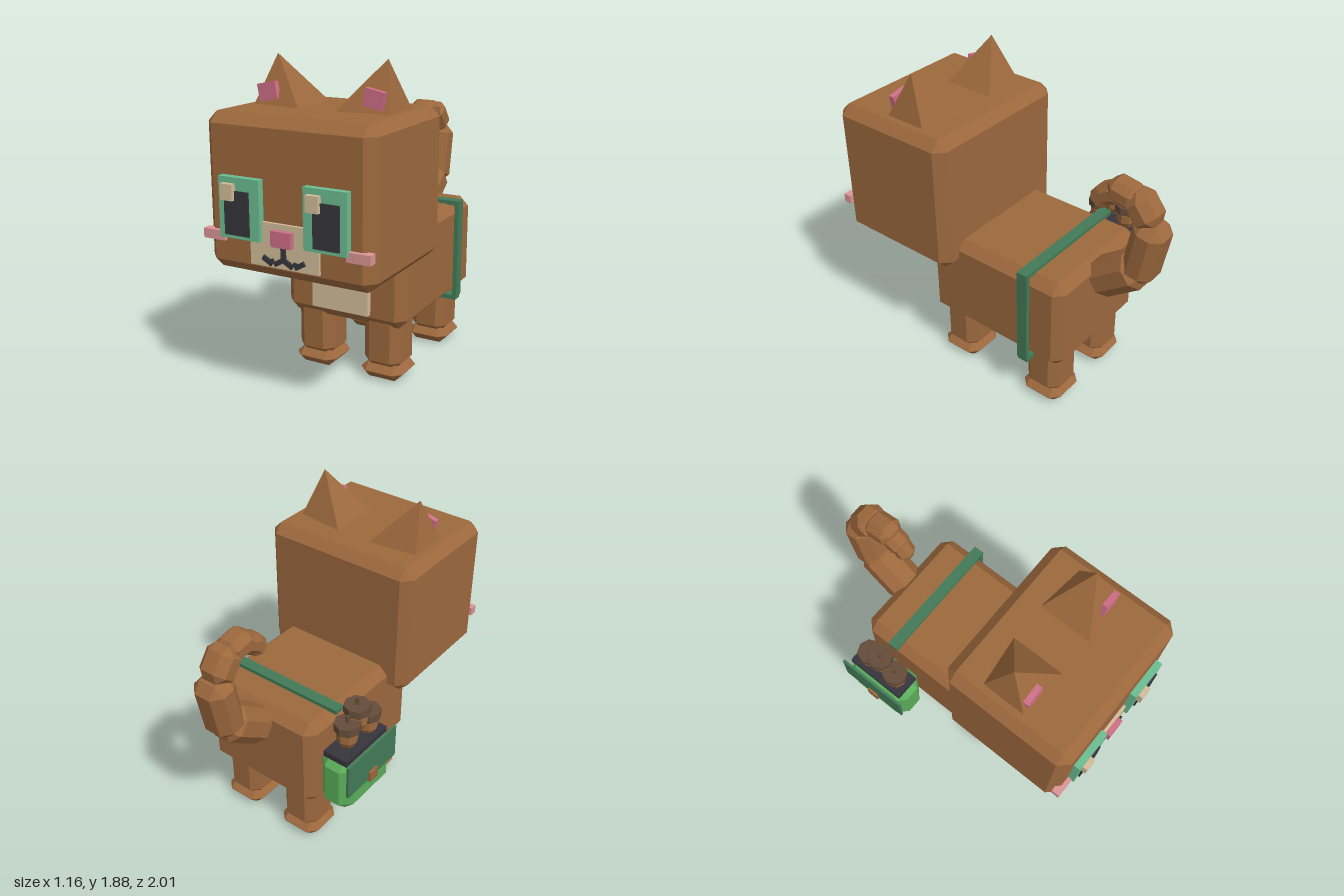
import * as THREE from 'three';
import { ConvexGeometry } from 'three/addons/geometries/ConvexGeometry.js';

const mat = (name, color) => Object.assign(new THREE.MeshStandardMaterial({ color, flatShading: true }), { name });

const M = {
  fur: mat('brown fur', 0x9c683d),
  cream: mat('cream', 0xd2bd9a),
  mint: mat('mint', 0x6cbd92),
  charcoal: mat('charcoal', 0x37353d),
  rose: mat('rose', 0xce6e86),
  blush: mat('blush', 0xdb9494),
  bag: mat('bag green', 0x5aad59),
  strap: mat('strap green', 0x437a57),
  cap: mat('dark brown', 0x644c39),
};

const MID = 0.0725; // symmetry plane of the animal; the bag hangs outside it

// Box with every edge and corner cut by c
function chamferBox(w, h, d, c) {
  const pts = [];
  const [x, y, z] = [w / 2, h / 2, d / 2];
  for (const i of [-1, 1]) for (const j of [-1, 1]) for (const k of [-1, 1]) {
    pts.push(
      new THREE.Vector3(i * x, j * (y - c), k * (z - c)),
      new THREE.Vector3(i * (x - c), j * y, k * (z - c)),
      new THREE.Vector3(i * (x - c), j * (y - c), k * z));
  }
  return new ConvexGeometry(pts);
}

export function createModel() {
  const model = new THREE.Group();
  model.name = 'boxyCat';

  function add(name, geometry, material, x = 0, y = 0, z = 0, parent = model) {
    const mesh = new THREE.Mesh(geometry, material);
    mesh.name = name;
    mesh.position.set(x, y, z);
    parent.add(mesh);
    return mesh;
  }
  // Box given by its limits; a chamfer is optional
  function block(name, material, [x0, x1], [y0, y1], [z0, z1], c = 0) {
    const size = [x1 - x0, y1 - y0, z1 - z0];
    const geometry = c ? chamferBox(...size, c) : new THREE.BoxGeometry(...size);
    return add(name, geometry, material, (x0 + x1) / 2, (y0 + y1) / 2, (z0 + z1) / 2);
  }

  // Head, body and belly patch
  block('head', M.fur, [-0.432, 0.577], [0.765, 1.612], [0.12, 0.93], 0.057);
  block('body', M.fur, [-0.32, 0.465], [0.34, 0.93], [-0.61, 0.36], 0.057);
  block('bellyPatch', M.cream, [-0.11, 0.255], [0.415, 0.8], [0.3, 0.395]);

  // Legs and paws
  for (const [side, x] of [['right', -0.15], ['left', 0.295]]) {
    for (const [end, z] of [['Front', 0.205], ['Rear', -0.435]]) {
      add(`${side}${end}Leg`, chamferBox(0.242, 0.36, 0.242, 0.055), M.fur, x, 0.24, z);
      add(`${side}${end}Paw`, chamferBox(0.268, 0.104, 0.268, 0.05), M.fur, x, 0.052, z);
    }
  }

  // Paired face parts
  for (const s of [-1, 1]) {
    const side = s < 0 ? 'right' : 'left';
    const span = (a, b) => [Math.min(MID + s * a, MID + s * b), Math.max(MID + s * a, MID + s * b)];

    const ear = [[0.338, 1.878, 0.46], [0.112, 1.61, 0.295], [0.112, 1.61, 0.62],
      [0.412, 1.61, 0.33], [0.412, 1.61, 0.59]]
      .map(([x, y, z]) => new THREE.Vector3(MID + s * x, y, z));
    add(`${side}Ear`, new ConvexGeometry(ear), M.fur);
    const inner = add(`${side}InnerEar`, new THREE.BoxGeometry(0.116, 0.095, 0.034), M.rose,
      MID + s * 0.323, 1.685, 0.578);
    inner.rotation.z = -s * 0.19;

    block(`${side}Eye`, M.mint, span(0.132, 0.383), [0.965, 1.292], [0.91, 0.97]);
    block(`${side}Pupil`, M.charcoal, span(0.192, 0.344), [0.985, 1.222], [0.965, 0.98]);
    const hx = s < 0 ? -0.28 : 0.235; // highlights sit on the same side of both eyes
    block(`${side}EyeHighlight`, M.cream, [hx, hx + 0.075], [1.172, 1.26], [0.965, 1.0]);
    block(`${side}Cheek`, M.blush, span(0.368, 0.504), [0.937, 0.99], [0.905, 0.955]);
  }

  // Muzzle, nose and mouth
  block('muzzle', M.cream, [-0.135, 0.28], [0.835, 1.072], [0.9, 0.947]);
  block('nose', M.rose, [MID - 0.06, MID + 0.06], [0.957, 1.042], [0.92, 0.98]);
  function stroke(x0, y0, x1, y1) {
    const len = Math.hypot(x1 - x0, y1 - y0);
    const bar = add('mouthStroke', new THREE.BoxGeometry(len, 0.027, 0.03), M.charcoal,
      MID + (x0 + x1) / 2, (y0 + y1) / 2, 0.945);
    bar.rotation.z = Math.atan2(y1 - y0, x1 - x0);
  }
  stroke(0, 0.96, 0, 0.875);
  for (const s of [-1, 1]) {
    stroke(0, 0.887, s * 0.055, 0.856);
    stroke(s * 0.07, 0.856, s * 0.125, 0.887);
    stroke(s * 0.07, 0.86, s * 0.076, 0.882);
  }

  // Curled tail: z, y, width, length, thickness, lean towards the back
  const tail = new THREE.Group();
  tail.name = 'tail';
  model.add(tail);
  const links = [
    [-0.73, 0.89, 0.23, 0.38, 0.22, 0.93],
    [-0.89, 1.12, 0.215, 0.39, 0.19, 0.18],
    [-0.855, 1.37, 0.185, 0.21, 0.165, -0.65],
    [-0.735, 1.425, 0.16, 0.19, 0.14, -1.4],
    [-0.64, 1.385, 0.13, 0.14, 0.125, -2.1],
    [-0.59, 1.345, 0.11, 0.13, 0.115, -2.5],
  ];
  links.forEach(([z, y, w, len, t, lean], i) => {
    const link = add(`tailLink${i + 1}`, chamferBox(w, len, t, t * 0.29), M.fur, MID, y, z, tail);
    link.rotation.x = -lean;
  });

  // Strap around the body
  const sz = [-0.4, -0.332];
  block('strapTop', M.strap, [-0.335, 0.492], [0.925, 0.952], sz);
  block('strapSide', M.strap, [0.465, 0.492], [0.335, 0.93], sz);
  block('strapBottom', M.strap, [-0.338, 0.485], [0.314, 0.342], sz);

  // Side bag with opening, flap and button
  block('bag', M.bag, [-0.553, -0.335], [0.4, 0.77], [-0.585, -0.14], 0.06);
  block('bagOpening', M.charcoal, [-0.525, -0.365], [0.75, 0.788], [-0.555, -0.172]);
  block('bagFlap', M.strap, [-0.566, -0.55], [0.567, 0.787], [-0.59, -0.135]);
  block('bagButton', M.fur, [-0.58, -0.56], [0.552, 0.622], [-0.4, -0.325]);

  // Acorns piled in the bag
  for (const [z, capTop] of [[-0.255, 0.935], [-0.445, 0.965], [-0.357, 1.035]]) {
    const acorn = new THREE.Group();
    acorn.name = 'acorn';
    acorn.position.set(-0.447, capTop, z);
    model.add(acorn);
    add('acornCap', new THREE.CylinderGeometry(0.078, 0.078, 0.05, 8), M.cap, 0, -0.025, 0, acorn);
    add('acornNut', new THREE.SphereGeometry(0.066, 8, 5), M.fur, 0, -0.09, 0, acorn).scale.y = 1.3;
    add('acornStem', new THREE.CylinderGeometry(0.011, 0.011, 0.045, 6), M.cap, 0, 0.02, 0, acorn);
  }

  return model;
}
